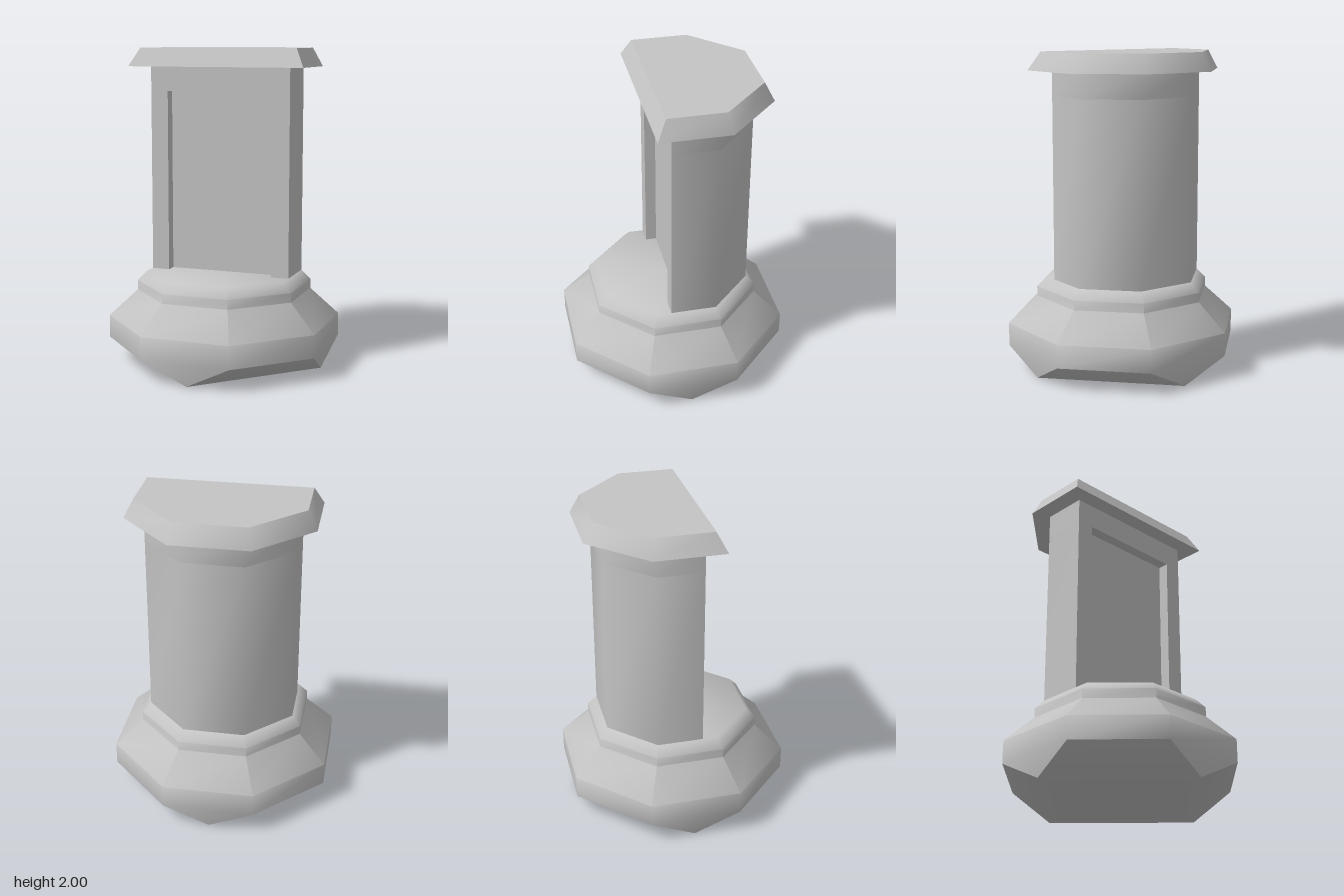
import * as THREE from 'three';
import { toCreasedNormals } from 'three/addons/utils/BufferGeometryUtils.js';

const stone = new THREE.MeshStandardMaterial({ color: 0xc4c4c4 });
stone.name = 'grey stone';

// Skins a stack of matching rings, listed from bottom to top: { y, points: [[x, z], ...] }
function loft(name, rings, capBottom, capTop) {
  const verts = [];
  const tri = (a, b, c) => {
    if (a.equals(b) || b.equals(c) || a.equals(c)) return;
    verts.push(...a.toArray(), ...b.toArray(), ...c.toArray());
  };
  const loops = rings.map(r => r.points.map(([x, z]) => new THREE.Vector3(x, r.y, z)));
  const n = loops[0].length;
  for (let r = 0; r < loops.length - 1; r++) {
    const lo = loops[r], hi = loops[r + 1];
    for (let i = 0; i < n; i++) {
      const j = (i + 1) % n;
      tri(lo[i], lo[j], hi[j]);
      tri(lo[i], hi[j], hi[i]);
    }
  }
  const cap = (loop, flip) => {
    const centre = loop.reduce((s, p) => s.add(p), new THREE.Vector3()).divideScalar(n);
    for (let i = 0; i < n; i++) {
      const a = loop[i], b = loop[(i + 1) % n];
      if (flip) tri(centre, b, a);
      else tri(centre, a, b);
    }
  };
  if (capBottom) cap(loops[0], true);
  if (capTop) cap(loops[loops.length - 1], false);
  const geometry = new THREE.BufferGeometry();
  geometry.setAttribute('position', new THREE.Float32BufferAttribute(verts, 3));
  const mesh = new THREE.Mesh(toCreasedNormals(geometry, 0.9), stone);
  mesh.name = name;
  return mesh;
}

// Regular octagon of half-width h
function octagon(h) {
  const k = h * 0.414;
  return [[h, k], [h, -k], [k, -h], [-k, -h], [-h, -k], [-h, k], [-k, h], [k, h]];
}

// Octagon cut off straight at the front
function cutOctagon(h, front) {
  const k = h * 0.418;
  return [[h, front], [h, -k], [k, -h], [-k, -h], [-h, -k], [-h, front]];
}

export function createModel() {
  const group = new THREE.Group();
  group.name = 'pedestal';

  // Octagonal base whose underside narrows to a diamond
  const d = 0.65;
  const diamond = [[d, 0], [d, 0], [0, -d], [0, -d], [-d, 0], [-d, 0], [0, d], [0, d]];
  const profile = [[0.145, 0.685], [0.29, 0.685], [0.46, 0.515], [0.52, 0.515], [0.58, 0.46]];
  const baseRings = profile.map(([y, h]) => ({ y, points: octagon(h) }));
  group.add(loft('base', [{ y: 0, points: diamond }, ...baseRings], true, true));

  // Shaft with a recessed front panel, open at both hidden ends
  const front = 0.095, back = 0.025, w = 0.347;
  const shaft = [...cutOctagon(0.46, front), [-w, front], [-w, back], [w, back], [w, front]];
  group.add(loft('shaft', [{ y: 0.58, points: shaft }, { y: 1.73, points: shaft }], false, false));

  // Solid head of the shaft above the recess
  const head = cutOctagon(0.46, front);
  group.add(loft('shaftHead', [{ y: 1.73, points: head }, { y: 1.885, points: head }], true, false));

  // Overhanging bevelled cap
  group.add(loft('cap', [
    { y: 1.885, points: cutOctagon(0.572, 0.197) },
    { y: 2, points: cutOctagon(0.513, 0.138) },
  ], true, true));

  return group;
}
